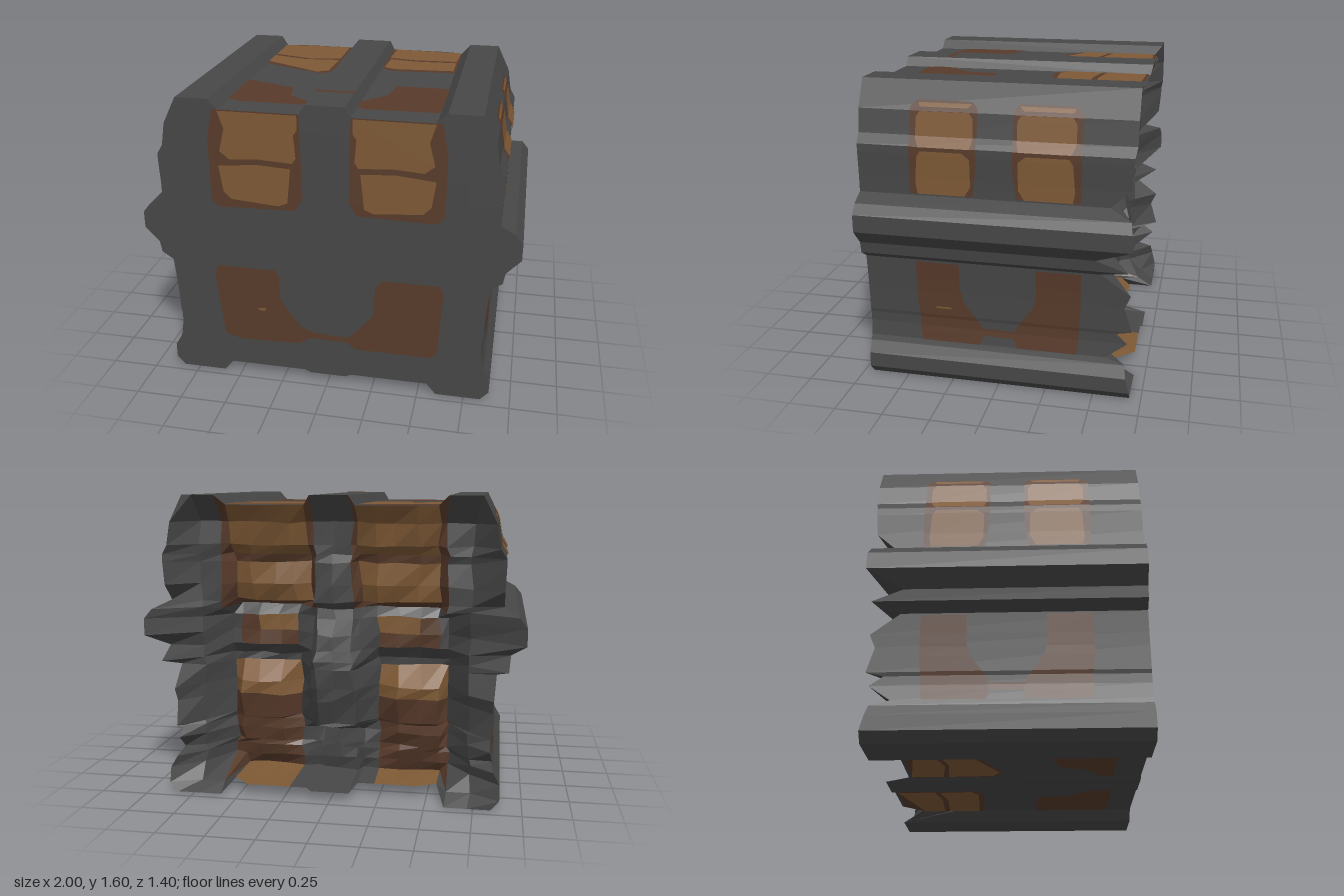
import * as THREE from 'three';

// Profile rows: height, half width, z of the ragged back edge
const ROWS = [
  [0, 0.84, -0.69], [0.05, 0.885, -0.69], [0.13, 0.885, -0.67], [0.19, 0.85, -0.66], [0.22, 0.84, -0.56],
  [0.3, 0.83, -0.67], [0.35, 0.83, -0.6], [0.37, 0.835, -0.69], [0.5, 0.84, -0.65],
  [0.57, 0.845, -0.68], [0.68, 0.855, -0.53], [0.72, 0.915, -0.67], [0.78, 0.925, -0.51],
  [0.86, 1, -0.69], [0.95, 1, -0.69], [1.0, 0.96, -0.68], [1.04, 0.885, -0.57],
  [1.13, 0.885, -0.67], [1.25, 0.89, -0.68], [1.29, 0.89, -0.68], [1.34, 0.86, -0.69],
  [1.46, 0.84, -0.69], [1.6, 0.77, -0.69],
];
const HALF = [0.1, 0.13, 0.22, 0.33, 0.45, 0.55, 0.6, 0.72, 1];
const COLS = [...HALF.map((x) => -x).reverse(), 0, ...HALF];
const M = ROWS.length - 1, N = COLS.length - 1, FRONT = 0.7;

function halfWidth(y) {
  for (let i = 0; i < M; i++) {
    const [y0, w0] = ROWS[i], [y1, w1] = ROWS[i + 1];
    if (y <= y1) return w0 + (w1 - w0) * (y - y0) / (y1 - y0);
  }
  return ROWS[M][1];
}

// Depth of the broken back wall: floor ledge, lock, posts, recess, planks
function wallZ(a, y) {
  if (y < 0.09) return a < 0.58 ? -0.32 : -0.6;
  if (a < 0.2 && y < 1.02) {
    if (y < 0.34) return -0.34;
    return (a < 0.12 ? -0.5 : -0.45) - 0.08 * Math.sin(Math.PI * (y - 0.34) / 0.68);
  }
  if (y < 0.97) {
    if (a > 0.62) return -0.54;
    if (y > 0.77) return -0.4;
    if (y > 0.6) return -0.34;
    return a > 0.3 && a < 0.58 ? -0.32 - 0.12 * Math.min(1, y / 0.5) : -0.34;
  }
  if (a < 0.12 || a > 0.58) return -0.56;
  if (y < 1.02) return -0.37;
  const seam = Math.abs(y - 1.27) < 0.03 ? 0.04 : 0;
  return -0.44 - 0.3 * (y - 1) - (a > 0.2 && a < 0.5 ? 0.04 : 0) + seam;
}

function wallColour(a, y) {
  if (y < 0.06) return a > 0.2 && a < 0.55 ? 'tan' : 'grey';
  if (y > 0.08 && y < 0.68 && a > 0.25 && a < 0.6) return y > 0.51 ? 'tan' : 'brown';
  if (y > 0.78 && y < 0.95 && a > 0.22 && a < 0.55) return y > 0.86 && a < 0.5 ? 'tan' : 'brown';
  if (y > 1 && a > 0.1 && a < 0.6) {
    const border = a < 0.13 || a > 0.55 || y < 1.04 || (y > 1.25 && y < 1.29);
    return border ? 'brown' : 'tan';
  }
  return 'grey';
}

// Broken back edge of the base, left side longer than the right
function baseEdge(x) {
  const a = Math.abs(x);
  if (a < 0.11 || a > 0.58) return -0.69;
  if (x > 0) return a > 0.5 ? -0.57 : -0.68;
  return a > 0.5 ? -0.5 : -0.56;
}

export function createModel() {
  const group = new THREE.Group();
  const mats = {
    grey: new THREE.MeshStandardMaterial({ color: 0x474747 }),
    brown: new THREE.MeshStandardMaterial({ color: 0x583b2b }),
    tan: new THREE.MeshStandardMaterial({ color: 0x7e5935 }),
  };
  mats.grey.name = 'darkGrey';
  mats.brown.name = 'darkBrown';
  mats.tan.name = 'woodBrown';
  let seed = 7;
  const rnd = () => ((seed = (seed * 16807) % 2147483647) / 2147483647) * 2 - 1;

  const add = (geo, colour, name) => {
    const mesh = new THREE.Mesh(geo, mats[colour]);
    mesh.name = name;
    group.add(mesh);
    return mesh;
  };
  const pushQuad = (out, a, b, c, d) => out.push(...a, ...b, ...c, ...a, ...c, ...d);
  const facets = (pos) => {
    const g = new THREE.BufferGeometry();
    g.setAttribute('position', new THREE.Float32BufferAttribute(pos, 3));
    g.computeVertexNormals();
    return g;
  };

  // Grid of front and back points, with raised straps at top and bottom
  const front = [], back = [];
  ROWS.forEach(([ry, w, edgeZ], i) => {
    front.push([]);
    back.push([]);
    COLS.forEach((c, j) => {
      const a = Math.abs(c), side = j === 0 || j === N;
      const panel = a > 0.11 && a < 0.58;
      const x = side ? c * w : c;
      const low = a > 0.58 ? 0 : panel ? 0.06 : 0.045;
      let y = Math.max(ry, low + 0.01 * i);
      if (i === 0) y = low;
      if (i === M) y = panel ? 1.55 : 1.6;
      front[i].push([x, y, FRONT]);
      if (side) back[i].push([x, y, edgeZ]);
      else if (i === 0) back[i].push([x, y, baseEdge(c)]);
      else if (i === M) back[i].push([x, y, panel ? (a > 0.5 ? -0.65 : -0.68) : -0.69]);
      else back[i].push([x + rnd() * 0.012, y + rnd() * 0.006, wallZ(a, ry) + rnd() * 0.014]);
    });
  });

  // Solid body: front, sides, lid and base
  const body = [], wall = { grey: [], brown: [], tan: [] };
  for (let i = 0; i < M; i++) {
    for (let j = 0; j < N; j++) {
      pushQuad(body, front[i][j], front[i][j + 1], front[i + 1][j + 1], front[i + 1][j]);
      const a = Math.abs(COLS[j] + COLS[j + 1]) / 2, y = (ROWS[i][0] + ROWS[i + 1][0]) / 2;
      pushQuad(wall[wallColour(a, y)], back[i][j + 1], back[i][j], back[i + 1][j], back[i + 1][j + 1]);
    }
    pushQuad(body, front[i][N], back[i][N], back[i + 1][N], front[i + 1][N]);
    pushQuad(body, back[i][0], front[i][0], front[i + 1][0], back[i + 1][0]);
  }
  for (let j = 0; j < N; j++) {
    pushQuad(body, front[M][j], front[M][j + 1], back[M][j + 1], back[M][j]);
    pushQuad(body, back[0][j], back[0][j + 1], front[0][j + 1], front[0][j]);
  }
  add(facets(body), 'grey', 'chestBody');
  for (const key in wall) add(facets(wall[key]), key, `${key}BackWall`);

  // Flat painted patches
  const plate = (pts, sx = 1, sy = 1) =>
    new THREE.ShapeGeometry(new THREE.Shape(pts.map(([x, y]) => new THREE.Vector2(x * sx, y * sy))));
  const U = [[-0.6, 0.67], [-0.28, 0.67], [-0.26, 0.64], [-0.26, 0.5], [-0.15, 0.34], [-0.08, 0.31],
    [0.08, 0.3], [0.13, 0.31], [0.25, 0.45], [0.26, 0.62], [0.3, 0.67], [0.6, 0.67], [0.62, 0.62],
    [0.6, 0.27], [0.57, 0.23], [0.16, 0.23], [0.1, 0.27], [-0.1, 0.27], [-0.16, 0.23], [-0.5, 0.22], [-0.58, 0.25], [-0.62, 0.62]];
  add(plate(U), 'brown', 'frontLowerPatch').position.z = FRONT + 0.003;
  const chip = [[-0.39, 0.43], [-0.37, 0.415], [-0.34, 0.42], [-0.34, 0.435]];
  add(plate(chip), 'tan', 'frontChip').position.z = FRONT + 0.006;
  for (const s of [-1, 1]) {
    const border = [[0.58, 1.55], [0.13, 1.55], [0.12, 1.1], [0.16, 1.03], [0.57, 1.02], [0.61, 1.06], [0.61, 1.4]];
    const upper = [[0.55, 1.545], [0.14, 1.545], [0.14, 1.47], [0.16, 1.44], [0.15, 1.32], [0.17, 1.29],
      [0.35, 1.3], [0.5, 1.29], [0.55, 1.33], [0.52, 1.45]];
    const lower = [[0.56, 1.25], [0.36, 1.27], [0.18, 1.26], [0.2, 1.07], [0.25, 1.05], [0.5, 1.07], [0.54, 1.11]];
    add(plate(border, s), 'brown', 'frontPlankBorder').position.z = FRONT + 0.003;
    add(plate(upper, s), 'tan', 'frontUpperPlank').position.z = FRONT + 0.006;
    add(plate(lower, s), 'tan', 'frontLowerPlank').position.z = FRONT + 0.006;
  }

  // Patches on lid and base, points given as x, z; base ones stop at its broken edge
  const flat = (pts, colour, name, lift) => {
    const top = add(plate(pts, 1, -1).rotateX(-Math.PI / 2), colour, `lid${name}`);
    top.position.y = 1.55 + lift;
    const cut = pts.map(([x, z]) => [x, Math.max(z, baseEdge(x) + 0.02)]);
    const base = add(plate(cut).rotateX(Math.PI / 2), colour, `base${name}`);
    base.position.y = 0.06 - lift;
  };
  flat([[-0.57, 0.15], [-0.27, 0.27], [-0.25, 0.4], [-0.13, 0.49], [-0.13, 0.55], [-0.5, 0.55], [-0.57, 0.5]], 'brown', 'RightPatch', 0.003);
  flat([[0.57, 0.13], [0.27, 0.13], [0.25, 0.3], [0.13, 0.44], [0.13, 0.53], [0.17, 0.56], [0.57, 0.55]], 'brown', 'LeftPatch', 0.003);
  flat([[-0.55, -0.65], [-0.45, -0.67], [-0.13, -0.67], [-0.14, -0.09], [-0.2, -0.04], [-0.57, -0.2]], 'brown', 'RightPlankBorder', 0.003);
  flat([[0.55, -0.65], [0.45, -0.67], [0.13, -0.67], [0.13, -0.22], [0.19, -0.17], [0.57, -0.19]], 'brown', 'LeftPlankBorder', 0.003);
  flat([[-0.56, -0.64], [-0.15, -0.66], [-0.15, -0.37], [-0.33, -0.34], [-0.56, -0.41]], 'tan', 'RightBackPlank', 0.006);
  flat([[-0.56, -0.38], [-0.35, -0.32], [-0.15, -0.34], [-0.16, -0.1], [-0.22, -0.06], [-0.56, -0.24]], 'tan', 'RightFrontPlank', 0.006);
  flat([[0.55, -0.64], [0.15, -0.66], [0.14, -0.45], [0.3, -0.42], [0.54, -0.43]], 'tan', 'LeftBackPlank', 0.006);
  flat([[0.54, -0.4], [0.3, -0.39], [0.15, -0.42], [0.14, -0.24], [0.2, -0.2], [0.54, -0.22]], 'tan', 'LeftFrontPlank', 0.006);
  const bridge = [[-0.1, 0.44], [0.1, 0.44], [0.1, 0.47], [-0.1, 0.47]];
  add(plate(bridge, 1, -1).rotateX(-Math.PI / 2), 'brown', 'lidStrapPatch').position.y = 1.603;

  // Side patches follow the profile; spans are y, z from, z to
  const sidePatch = (spans, s, colour, name, lift) => {
    const pos = [];
    for (let k = 0; k < spans.length - 1; k++) {
      const [y0, a0, b0] = spans[k], [y1, a1, b1] = spans[k + 1];
      const cuts = [y0, ...ROWS.map((r) => r[0]).filter((y) => y > y0 && y < y1), y1];
      const at = (y, p, q) => [s * (halfWidth(y) + lift), y, p + (q - p) * (y - y0) / (y1 - y0)];
      for (let n = 0; n < cuts.length - 1; n++) {
        const c = cuts[n], d = cuts[n + 1];
        const q = [at(c, b0, b1), at(c, a0, a1), at(d, a0, a1), at(d, b0, b1)];
        pushQuad(pos, ...(s > 0 ? q : q.reverse()));
      }
    }
    add(facets(pos), colour, name);
  };
  for (const s of [-1, 1]) {
    for (const m of [0, 1]) {
      const z = (list) => list.map(([y, a, b]) => (m ? [y, -b, -a] : [y, a, b]));
      sidePatch(z([[0.22, 0.1, 0.41], [0.27, 0.08, 0.42], [0.34, 0.1, 0.42], [0.45, 0.18, 0.43], [0.52, 0.2, 0.43], [0.67, 0.2, 0.43]]), s, 'brown', 'sideLowerPatch', 0.004);
      sidePatch(z([[1.05, 0.11, 0.43], [1.2, 0.09, 0.43], [1.48, 0.09, 0.43], [1.51, 0.12, 0.4]]), s, 'brown', 'sidePlankBorder', 0.004);
      sidePatch(z([[1.05, 0.15, 0.39], [1.1, 0.12, 0.4], [1.24, 0.12, 0.39], [1.27, 0.16, 0.37]]), s, 'tan', 'sideLowerPlank', 0.008);
      sidePatch(z([[1.29, 0.12, 0.38], [1.33, 0.11, 0.4], [1.43, 0.11, 0.4], [1.46, 0.13, 0.38]]), s, 'tan', 'sideUpperPlank', 0.008);
      sidePatch(z([[1.48, 0.14, 0.38], [1.5, 0.12, 0.39]]), s, 'tan', 'sidePlankChip', 0.008);
    }
    sidePatch([[0.27, -0.09, 0.09], [0.31, -0.11, 0.11]], s, 'brown', 'sidePatchBridge', 0.004);
  }
  sidePatch([[0.41, 0.25, 0.33], [0.42, 0.25, 0.33]], 1, 'tan', 'sideLowerChip', 0.008);
  return group;
}
